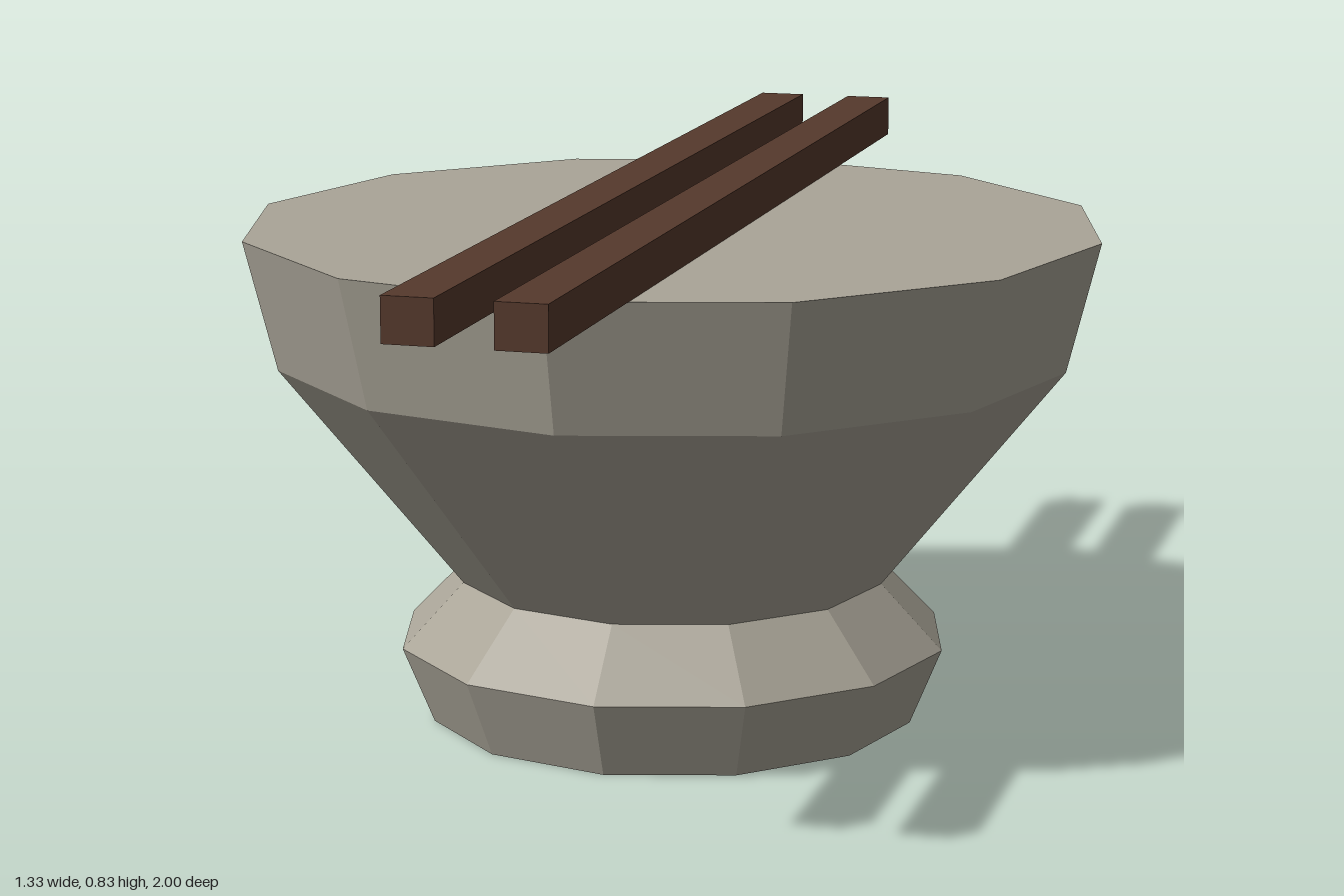
import * as THREE from 'three';

export function createModel() {
  const group = new THREE.Group();

  const stone = new THREE.MeshStandardMaterial({ color: 0xaaa598, flatShading: true });
  stone.name = 'warm grey ceramic';
  const wood = new THREE.MeshStandardMaterial({ color: 0x56392c, flatShading: true });
  wood.name = 'dark brown wood';

  // Twelve-sided turned shape from [radius, height] pairs, bottom to top
  const turned = (name, points) => {
    const profile = points.map(([r, y]) => new THREE.Vector2(r, y));
    const mesh = new THREE.Mesh(new THREE.LatheGeometry(profile, 12), stone);
    mesh.name = name;
    group.add(mesh);
  };

  // Flared foot, narrowing to the waist
  turned('foot', [[0, 0], [0.383, 0], [0.432, 0.12], [0.335, 0.22]]);
  // Bowl widening to the rim, filled flat to the top
  turned('bowl', [[0.335, 0.22], [0.616, 0.57], [0.666, 0.77], [0, 0.77]]);

  // Pair of square chopsticks resting across the rim
  for (const [name, side] of [['leftChopstick', 1], ['rightChopstick', -1]]) {
    const stick = new THREE.Mesh(new THREE.BoxGeometry(0.074, 0.065, 2), wood);
    stick.name = name;
    stick.position.set(side * 0.078, 0.8025, 0);
    group.add(stick);
  }

  return group;
}
